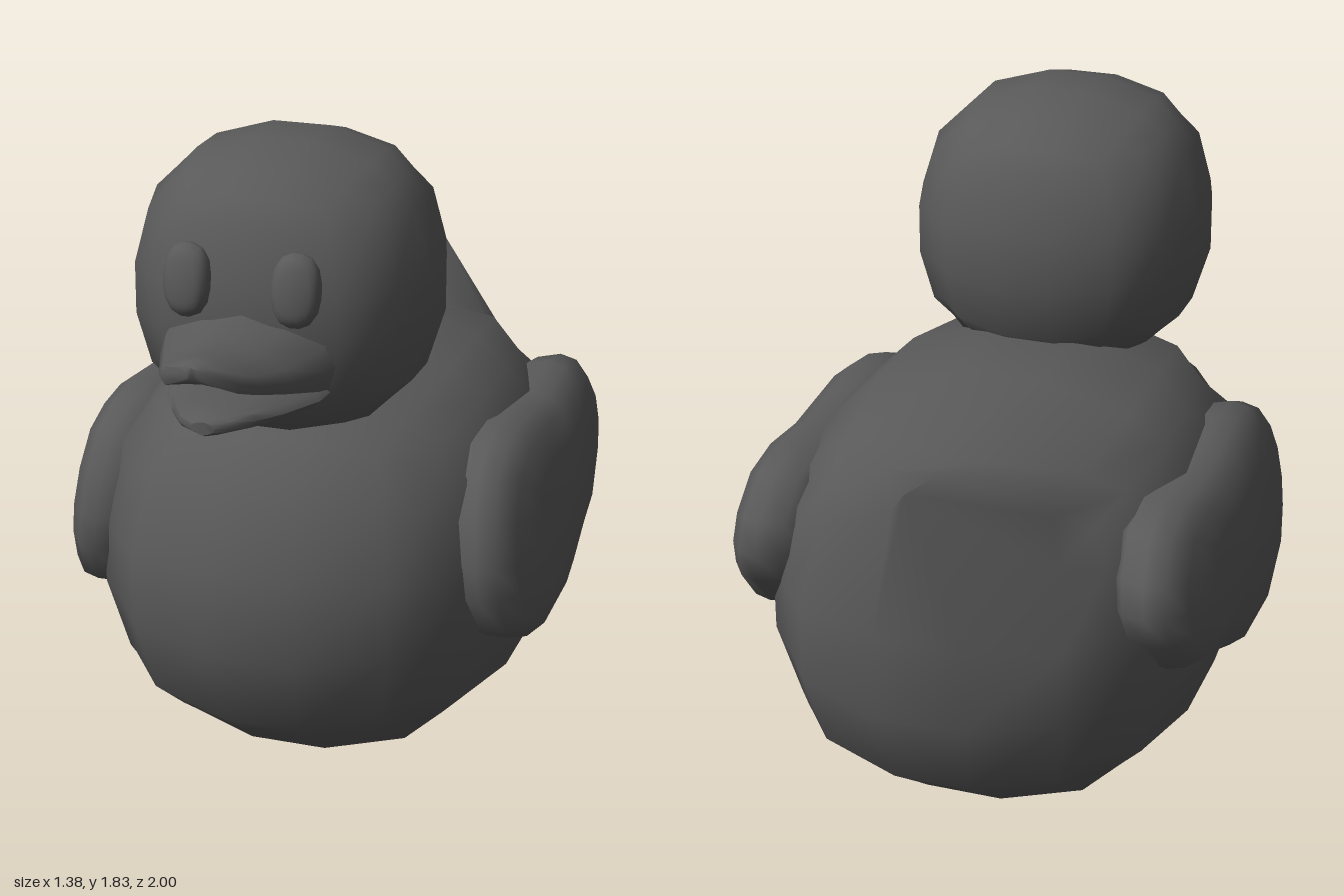
import * as THREE from 'three';
import { mergeVertices, toCreasedNormals } from 'three/addons/utils/BufferGeometryUtils.js';

const material = new THREE.MeshStandardMaterial({ color: 0x595959 });

function addMesh(group, name, geometry) {
  const mesh = new THREE.Mesh(geometry, material);
  mesh.name = name;
  group.add(mesh);
  return mesh;
}

// Slightly squarish ellipsoid made from a 5 x 5 x 5 box; adjust(cell, point) may move single vertices.
// A cell counts grid lines from the middle: +-1, +-3, and +-5 on the box edges.
function roundBlob(center, radii, adjust = () => {}) {
  let geometry = new THREE.BoxGeometry(10, 10, 10, 5, 5, 5);
  geometry.deleteAttribute('normal');
  geometry.deleteAttribute('uv');
  geometry = mergeVertices(geometry);
  const pos = geometry.attributes.position;
  const slope = { 1: 0.199, 3: 0.668, 5: 1 };
  const power = 2.4;
  for (let i = 0; i < pos.count; i++) {
    const cell = [pos.getX(i), pos.getY(i), pos.getZ(i)].map(Math.round);
    const dir = cell.map((c) => Math.sign(c) * slope[Math.abs(c)]);
    const norm = dir.reduce((sum, d) => sum + Math.abs(d) ** power, 0) ** (1 / power);
    const edges = cell.filter((c) => Math.abs(c) === 5).length;
    const size = [1, 1, 0.972, 0.94][edges] / norm;
    const p = new THREE.Vector3(...dir.map((d, k) => center[k] + d * radii[k] * size));
    adjust(cell, p);
    pos.setXYZ(i, p.x, p.y, p.z);
  }
  geometry.computeVertexNormals();
  return geometry;
}

// Closed skin through rings of points, each counter-clockwise seen from the last ring's side
function loft(rings, crease) {
  const n = rings[0].length;
  const index = [];
  for (let r = 0; r < rings.length - 1; r++) {
    for (let j = 0; j < n; j++) {
      const k = (j + 1) % n;
      const a = r * n + j, b = r * n + k;
      index.push(a, b, b + n, a, b + n, a + n);
    }
  }
  const last = (rings.length - 1) * n;
  for (let j = 1; j < n - 1; j++) {
    index.push(0, j + 1, j, last, last + j, last + j + 1);
  }
  const geometry = new THREE.BufferGeometry();
  geometry.setAttribute('position', new THREE.Float32BufferAttribute(rings.flat(2), 3));
  geometry.setIndex(index);
  geometry.computeVertexNormals();
  return crease ? toCreasedNormals(geometry, crease) : geometry;
}

// Body vertices pinched up into a tail: two small peaks and a lopsided rear tip
function shapeTail(cell, p) {
  const [x, y, z] = cell;
  if (Math.abs(x) !== 1) return;
  if (y === 5 && z === -3) p.y = 1.09;
  if (y === 5 && z === -5) p.set(x * 0.06, 1.2, -0.94);
  if (y === 3 && z === -5) p.set(x < 0 ? 0 : 0.07, x < 0 ? 1.17 : 1.07, x < 0 ? -1 : -0.91);
}

// Wing outline as [z, y], and its rings as [scale, x]
const wingOutline = [
  [0.38, 0.7], [0.35, 0.82], [0.28, 0.93], [0.17, 0.98], [0.04, 1.0], [-0.12, 0.985],
  [-0.28, 0.97], [-0.48, 0.99], [-0.63, 0.96], [-0.72, 0.86], [-0.74, 0.77], [-0.71, 0.68],
  [-0.6, 0.56], [-0.42, 0.5], [-0.18, 0.4], [0.12, 0.39], [0.32, 0.49], [0.37, 0.6],
];
const wingRings = [[0.85, 0.43], [0.96, 0.48], [1, 0.545], [0.97, 0.595], [0.86, 0.64], [0.6, 0.668], [0.25, 0.682], [0.02, 0.685]];

function wing(side) {
  const outline = side > 0 ? [...wingOutline].reverse() : wingOutline;
  return loft(wingRings.map(([s, x]) => outline.map(([z, y]) => {
    const py = 0.7 + (y - 0.7) * s;
    const pz = -0.15 + (z + 0.15) * s;
    return [side * (x - (py - 0.7) * 0.1), py, pz];
  })));
}

// Bill half built from sections: [z, half width, top, side top, side bottom, middle bottom]
function bill(sections) {
  return loft(sections.map(([z, w, top, sideTop, sideBottom, bottom]) => {
    const half = [
      [w * 0.5, top + (sideTop - top) * 0.4],
      [w * 0.92, sideTop],
      [w, (sideTop + sideBottom) / 2],
      [w * 0.9, sideBottom],
      [w * 0.45, sideBottom + (bottom - sideBottom) * 0.6],
    ];
    return [
      [0, top, z],
      ...half.map(([x, y]) => [-x, y, z]),
      [0, bottom, z],
      ...half.reverse().map(([x, y]) => [x, y, z]),
    ];
  }), 0.9);
}

export function createModel() {
  const model = new THREE.Group();
  model.name = 'toyDuck';

  addMesh(model, 'body', roundBlob([0, 0.595, -0.145], [0.62, 0.605, 0.81], shapeTail));
  addMesh(model, 'head', roundBlob([0, 1.434, 0.268], [0.405, 0.398, 0.398]));

  addMesh(model, 'upperBill', bill([
    [0.5, 0.24, 1.475, 1.39, 1.23, 1.28],
    [0.65, 0.225, 1.45, 1.375, 1.265, 1.3],
    [0.78, 0.175, 1.432, 1.365, 1.3, 1.33],
    [0.88, 0.135, 1.43, 1.38, 1.33, 1.35],
    [0.94, 0.105, 1.44, 1.4, 1.352, 1.365],
    [0.985, 0.045, 1.438, 1.42, 1.382, 1.385],
    [1.0, 0.015, 1.428, 1.42, 1.4, 1.4],
  ]));
  addMesh(model, 'lowerBill', bill([
    [0.5, 0.22, 1.3, 1.27, 1.22, 1.13],
    [0.65, 0.205, 1.285, 1.26, 1.22, 1.165],
    [0.78, 0.155, 1.285, 1.265, 1.23, 1.19],
    [0.86, 0.11, 1.283, 1.27, 1.235, 1.207],
    [0.915, 0.07, 1.275, 1.265, 1.24, 1.22],
    [0.937, 0.03, 1.265, 1.258, 1.24, 1.23],
  ]));

  // Mirrored wings and eyes
  for (const side of [1, -1]) {
    const label = side > 0 ? 'left' : 'right';
    addMesh(model, label + 'Wing', wing(side));
    const eye = addMesh(model, label + 'Eye', roundBlob([0, 0, 0], [0.064, 0.096, 0.042]));
    eye.position.set(side * 0.145, 1.528, 0.655);
    eye.rotation.set(-0.12, side * 0.15, 0);
  }
  return model;
}
